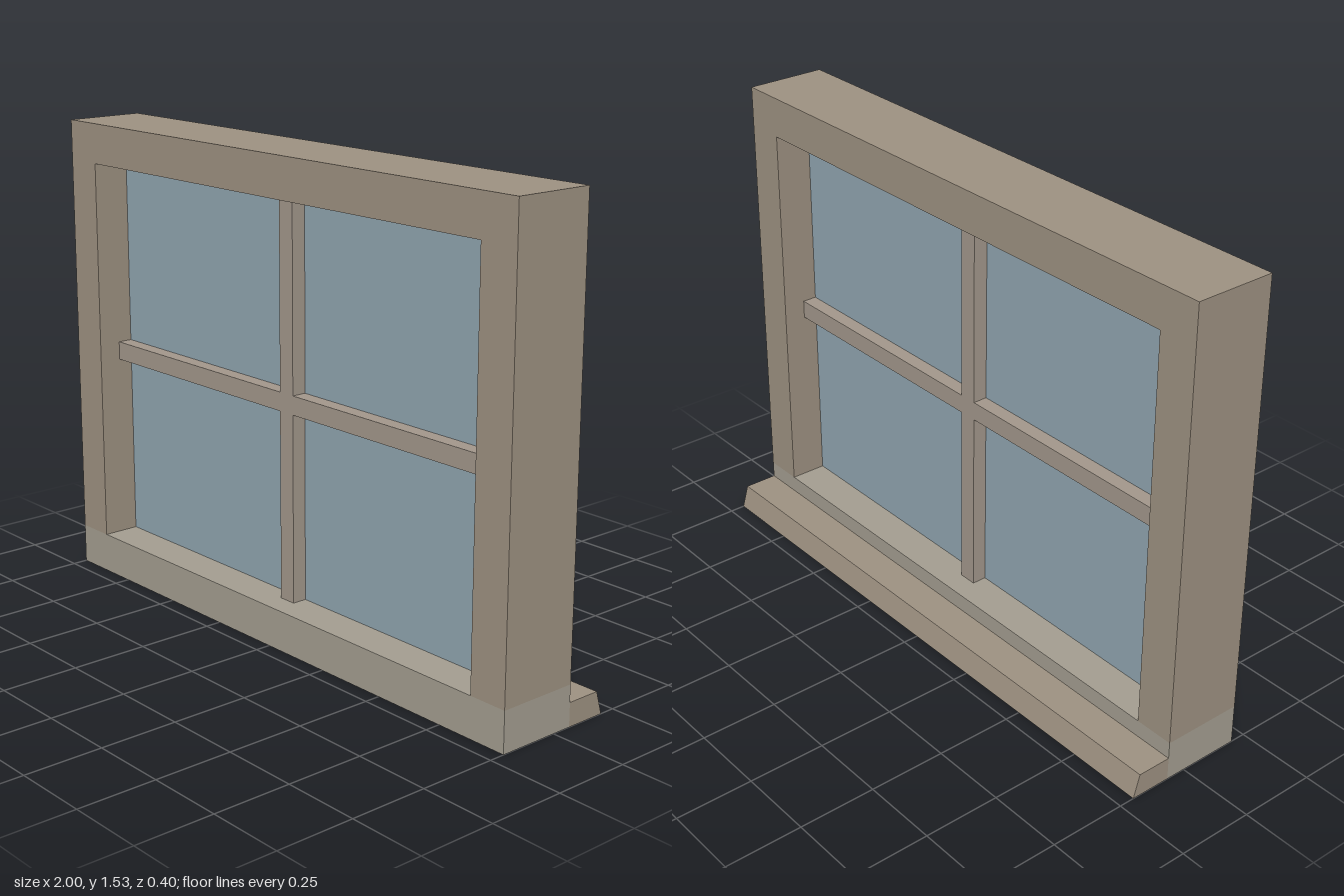
import * as THREE from 'three';

export function createModel() {
  const model = new THREE.Group();
  model.name = 'window';
  const paint = (color) => new THREE.MeshStandardMaterial({ color });
  const wood = paint(0x9c9080), railWood = paint(0xa29c8f), barWood = paint(0xa1968a), glass = paint(0x8fa3ae);

  // Main dimensions
  const W = 2, H = 1.53, front = 0.2, back = -0.065;
  const border = 0.13, bar = 0.06, barDepth = 0.116;
  const depth = front - back, midZ = (front + back) / 2;
  const openW = W - 2 * border, openH = H - 2 * border, midY = H / 2;

  const add = (name, geometry, material, x, y, z) => {
    const mesh = new THREE.Mesh(geometry, material);
    mesh.name = name;
    mesh.position.set(x, y, z);
    model.add(mesh);
  };
  const box = (name, w, h, d, material, x, y) =>
    add(name, new THREE.BoxGeometry(w, h, d), material, x, y, midZ);

  // Top and sides of the frame in one piece, above the bottom rail
  const arch = new THREE.Shape([
    [-W / 2, border], [-openW / 2, border], [-openW / 2, H - border], [openW / 2, H - border],
    [openW / 2, border], [W / 2, border], [W / 2, H], [-W / 2, H],
  ].map(([x, y]) => new THREE.Vector2(x, y)));
  add('outerFrame', new THREE.ExtrudeGeometry(arch, { depth, bevelEnabled: false }), wood, 0, 0, back);
  box('bottomRail', W, border, depth, railWood, 0, border / 2);

  // Pane of glass and the crossing bars
  box('glassPane', openW, openH, 0.02, glass, 0, midY);
  box('verticalBar', bar, openH, barDepth, barWood, 0, midY);
  const half = (openW - bar) / 2;
  for (const s of [-1, 1]) {
    box(s > 0 ? 'leftBar' : 'rightBar', half, bar, barDepth, barWood, s * (bar + half) / 2, midY);
  }

  // Sill behind the frame with a sloped outer edge, extruded along x
  const profile = new THREE.Shape([
    [-back, 0], [0.2, 0], [0.178, 0.075], [-back, 0.075],
  ].map(([z, y]) => new THREE.Vector2(z, y)));
  const sill = new THREE.ExtrudeGeometry(profile, { depth: W, bevelEnabled: false });
  sill.translate(0, 0, -W / 2).rotateY(Math.PI / 2);
  add('sill', sill, wood, 0, 0, 0);

  return model;
}
